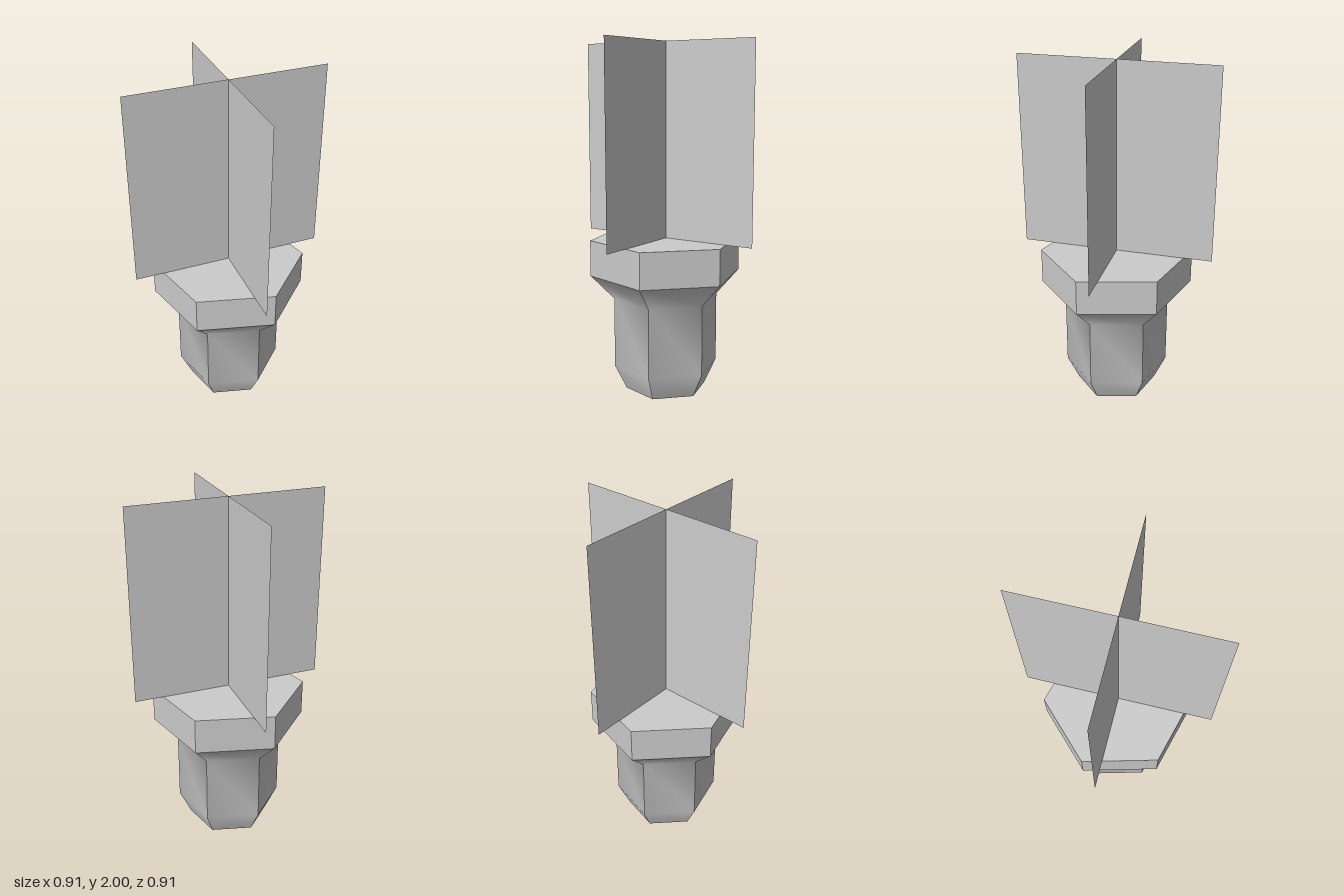
import * as THREE from 'three';
import { toCreasedNormals } from 'three/addons/utils/BufferGeometryUtils.js';

export function createModel() {
  const model = new THREE.Group();
  model.name = 'torch';
  const material = new THREE.MeshStandardMaterial({ color: 0xcccccc });
  const thin = new THREE.MeshStandardMaterial({ color: 0xcccccc, side: THREE.DoubleSide });

  const add = (name, geometry, mat = material) => {
    const mesh = new THREE.Mesh(geometry, mat);
    mesh.name = name;
    model.add(mesh);
    return mesh;
  };
  // Six-sided turned part; the crease angle keeps corners sharp but blends along the height
  const hexLathe = (profile) => toCreasedNormals(
    new THREE.LatheGeometry(profile.map(([r, y]) => new THREE.Vector2(r, y)), 6),
    THREE.MathUtils.degToRad(42));

  // Handle: tapered foot, straight grip, flare up to the collar
  add('handle', hexLathe([[0, 0], [0.236, 0], [0.304, 0.14], [0.304, 0.545], [0.438, 0.685]]));

  // Collar with a closed top
  add('collar', hexLathe([[0.438, 0.685], [0.438, 0.89], [0, 0.89]]));

  // Two crossed upright sheets for the flame
  for (const [name, angle] of [['flameSheetA', Math.PI / 4], ['flameSheetB', -Math.PI / 4]]) {
    const sheet = add(name, new THREE.PlaneGeometry(1.112, 1.11, 2, 1), thin);
    sheet.position.y = 1.445;
    sheet.rotation.y = angle;
  }

  // The whole torch is turned slightly about its axis
  model.rotation.y = THREE.MathUtils.degToRad(10);
  return model;
}
